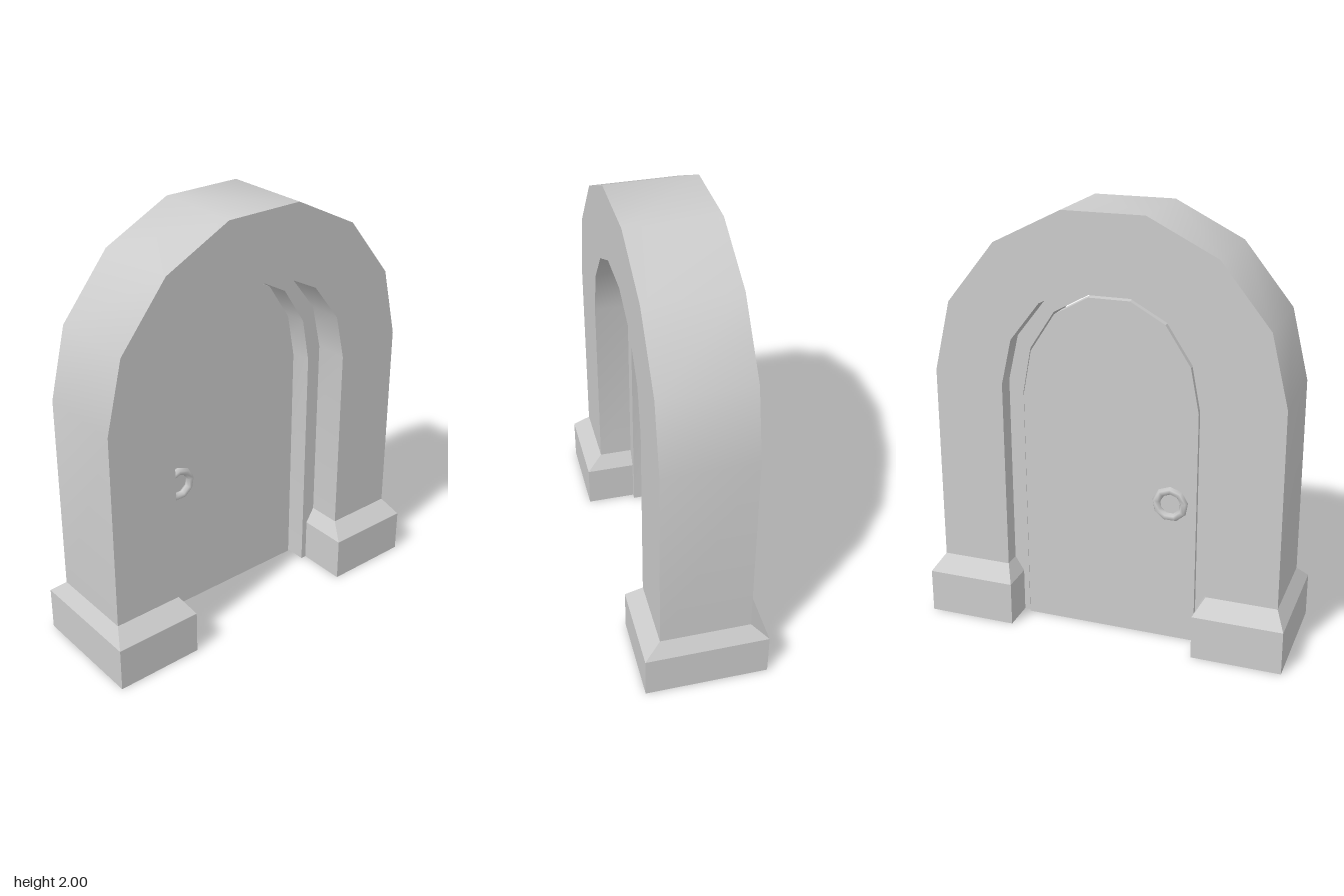
import * as THREE from 'three';
import { toCreasedNormals } from 'three/addons/utils/BufferGeometryUtils.js';

const material = new THREE.MeshStandardMaterial({ color: 0xcccccc, side: THREE.DoubleSide });

function add(group, name, geometry) {
  const mesh = new THREE.Mesh(geometry, material);
  mesh.name = name;
  group.add(mesh);
  return mesh;
}

// Sweeps a rectangular section over the arch, open at both feet.
// Each station is [outerX, outerY, innerX, innerY, backZ, frontZ] for the +x half.
function archShell(half) {
  const mirrored = half.map(([ox, oy, ix, iy, b, f]) => [-ox, oy, -ix, iy, b, f]).reverse();
  const stations = [...half, ...mirrored];
  const positions = [];
  const index = [];
  for (const [ox, oy, ix, iy, b, f] of stations) {
    positions.push(ox, oy, f, ox, oy, b, ix, iy, b, ix, iy, f);
  }
  for (let s = 0; s < stations.length - 1; s++) {
    for (let k = 0; k < 4; k++) {
      const a = s * 4 + k, b = s * 4 + (k + 1) % 4;
      index.push(a, b, b + 4, a, b + 4, a + 4);
    }
  }
  const geometry = new THREE.BufferGeometry();
  geometry.setAttribute('position', new THREE.Float32BufferAttribute(positions, 3));
  geometry.setIndex(index);
  return toCreasedNormals(geometry, 0.55);
}

// Right halves of the arch curves, from springing to crown
const outerArch = [[0.82, 1.225], [0.74, 1.555], [0.51, 1.84], [0.19, 2.0]];
const innerArch = [[0.49, 1.19], [0.44, 1.405], [0.3, 1.585], [0.115, 1.68]];
const frameArch = [[0.42, 1.14], [0.38, 1.35], [0.262, 1.53], [0.098, 1.62]];
const doorArch = [[0.415, 1.135], [0.375, 1.343], [0.258, 1.523], [0.096, 1.613]];

export function createModel() {
  const model = new THREE.Group();
  model.name = 'archedDoorway';

  // Stone arch flowing into wider chamfered plinths
  add(model, 'stoneArch', archShell([
    [0.868, 0, 0.447, 0, -0.287, 0.287],
    [0.868, 0.21, 0.447, 0.21, -0.287, 0.287],
    [0.823, 0.28, 0.49, 0.28, -0.21, 0.21],
    ...outerArch.map((o, i) => [...o, ...innerArch[i], -0.21, 0.21]),
  ]));

  // Inner door frame
  add(model, 'doorFrame', archShell([
    [0.495, 0, 0.42, 0, -0.13, 0.05],
    ...innerArch.map((o, i) => [...o, ...frameArch[i], -0.13, 0.05]),
  ]));

  // Door leaf
  const outline = [[0.415, 0], ...doorArch];
  const points = [...outline, ...outline.map(([x, y]) => [-x, y]).reverse()];
  const shape = new THREE.Shape(points.map(([x, y]) => new THREE.Vector2(x, y)));
  const leaf = new THREE.ExtrudeGeometry(shape, { depth: 0.1, bevelEnabled: false });
  leaf.translate(-0.003, 0, -0.145);
  add(model, 'doorLeaf', leaf);

  // Ring handles on both faces
  const ring = new THREE.TorusGeometry(0.066, 0.019, 6, 9);
  ring.rotateZ(Math.PI / 2);
  for (const [name, z] of [['frontHandle', -0.028], ['backHandle', -0.162]]) {
    add(model, name, ring).position.set(-0.3, 0.695, z);
  }
  return model;
}
